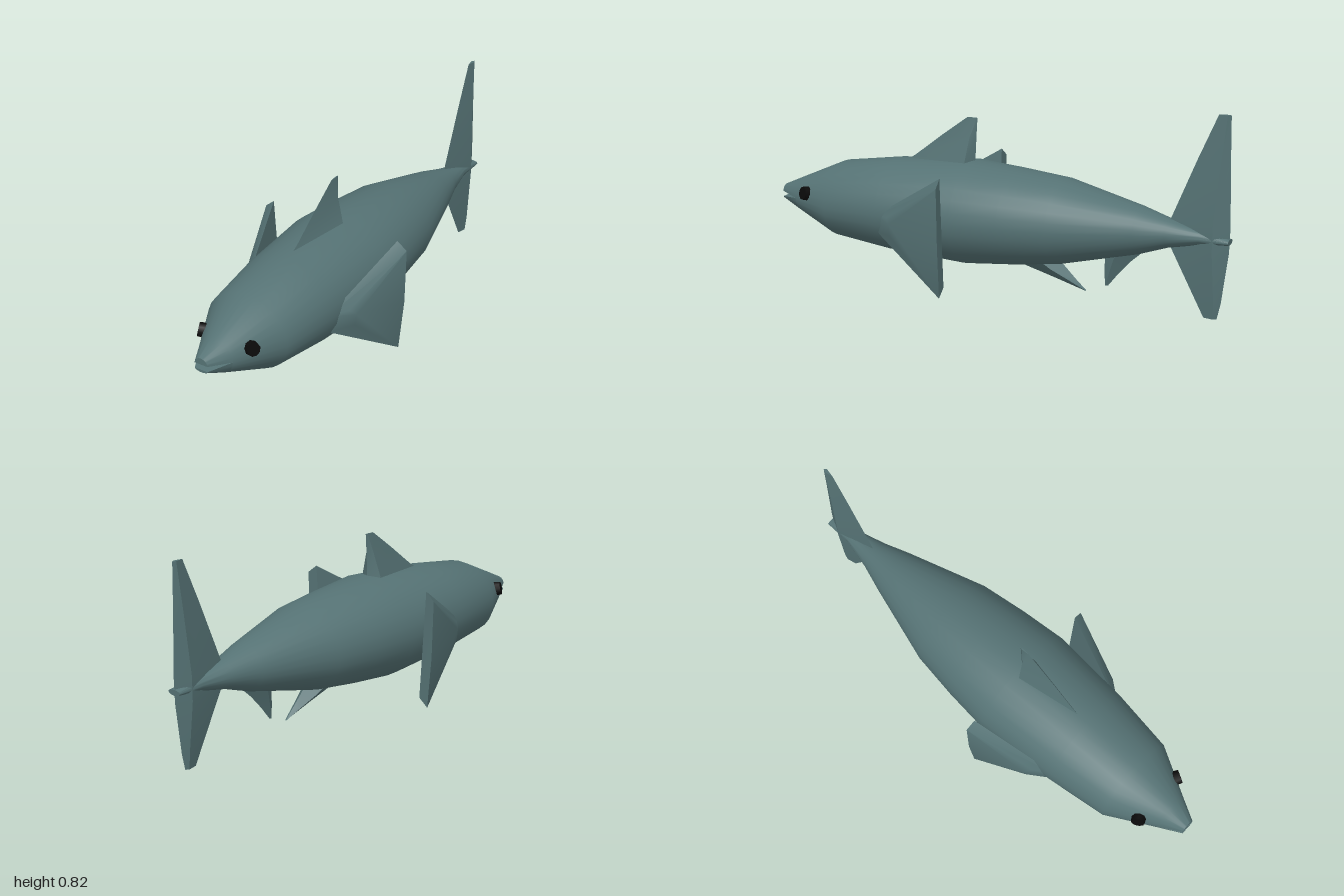
import * as THREE from 'three';
import { toCreasedNormals, mergeVertices } from 'three/addons/utils/BufferGeometryUtils.js';
import { ConvexGeometry } from 'three/addons/geometries/ConvexGeometry.js';

// Skin stretched over closed rings of [x, y, z] points, capped at both ends
function loft(rings, crease) {
  const n = rings[0].length, last = rings.length - 1;
  const pts = rings.flat(), index = [];
  for (let r = 0; r < last; r++) {
    for (let i = 0; i < n; i++) {
      const a = r * n + i, b = r * n + (i + 1) % n;
      index.push(a, b, b + n, a, b + n, a + n);
    }
  }
  for (let i = 1; i < n - 1; i++) {
    index.push(0, i + 1, i, last * n, last * n + i, last * n + i + 1);
  }
  // Turn the faces outward if the rings ran the other way
  let volume = 0;
  const [a, b, c] = [0, 1, 2].map(() => new THREE.Vector3());
  for (let i = 0; i < index.length; i += 3) {
    a.fromArray(pts[index[i]]);
    b.fromArray(pts[index[i + 1]]);
    c.fromArray(pts[index[i + 2]]);
    volume += a.dot(b.cross(c));
  }
  if (volume < 0) index.reverse();
  const geo = new THREE.BufferGeometry();
  geo.setAttribute('position', new THREE.Float32BufferAttribute(pts.flat(), 3));
  geo.setIndex(index);
  return toCreasedNormals(geo, crease);
}

// Body cross-section: upper and lower half-ellipses that meet at the side line
function bodyRing([z, top, mid, bottom, halfWidth]) {
  const ring = [];
  for (let i = 0; i < 28; i++) {
    const t = i / 28 * Math.PI * 2, s = Math.sin(t);
    ring.push([halfWidth * Math.cos(t), mid + s * (s > 0 ? top - mid : mid - bottom), z]);
  }
  return ring;
}

// Fin cross-section: a wedge, thickest near its rear edge
function finRing([y, front, back, half, thickAt = 0.75]) {
  const z = front + (back - front) * thickAt;
  return [[0, y, front], [half, y, z], [0, y, back], [-half, y, z]];
}

export function createModel() {
  const group = new THREE.Group();
  const skin = new THREE.MeshStandardMaterial({ color: 0x557274 });
  skin.name = 'greyTealSkin';
  const black = new THREE.MeshStandardMaterial({ color: 0x0a0a0a });
  black.name = 'eyeBlack';

  const add = (name, geo, material = skin) => {
    const mesh = new THREE.Mesh(geo, material);
    mesh.name = name;
    group.add(mesh);
    return mesh;
  };

  // Body, from the back of the mouth to the tail: z, top, side line, bottom, half width
  add('body', loft([
    [0.91, 0.397, 0.318, 0.25, 0.08],
    [0.71, 0.486, 0.32, 0.167, 0.19],
    [0.45, 0.524, 0.325, 0.135, 0.225],
    [0.10, 0.547, 0.33, 0.115, 0.25],
    [-0.10, 0.53, 0.33, 0.133, 0.232],
    [-0.30, 0.51, 0.33, 0.158, 0.205],
    [-0.63, 0.43, 0.333, 0.235, 0.105],
    [-0.75, 0.393, 0.333, 0.275, 0.065],
    [-0.88, 0.36, 0.33, 0.30, 0.033],
    [-1.0, 0.335, 0.325, 0.312, 0.03],
  ].map(bodyRing), 0.9));

  // Jaws with the open mouth between them
  add('upperJaw', loft([
    [0.91, 0.397, 0.318, 0.318, 0.08],
    [1.0, 0.356, 0.329, 0.329, 0.03],
  ].map(bodyRing), 0.9));
  add('lowerJaw', loft([
    [0.91, 0.318, 0.318, 0.25, 0.08],
    [1.0, 0.306, 0.306, 0.295, 0.03],
  ].map(bodyRing), 0.9));

  // Fins on the centre line: y, front z, back z, half thickness, place of thickest point
  add('dorsalFin', loft([
    [0.49, 0.46, 0.09, 0.065, 0.9],
    [0.545, 0.37, 0.095, 0.048, 0.9],
    [0.645, 0.24, 0.09, 0.019, 0.85],
    [0.725, 0.13, 0.085, 0.003, 0.8],
  ].map(finRing), 0.6));
  add('tailFin', loft([
    [0.003, -0.90, -0.955, 0.009],
    [0.07, -0.865, -0.97, 0.016],
    [0.28, -0.755, -0.997, 0.032],
    [0.38, -0.75, -1.0, 0.032],
    [0.645, -0.86, -0.993, 0.018],
    [0.827, -0.94, -0.99, 0.008],
  ].map(finRing), 0.6));
  add('pelvicFin', loft([
    [0.18, 0.0, -0.27, 0.06],
    [0.135, -0.10, -0.315, 0.045],
    [0.09, -0.26, -0.36, 0.022],
    [0.05, -0.395, -0.402, 0.004],
  ].map(finRing), 0.6));
  add('analFin', loft([
    [0.24, -0.48, -0.64, 0.035, 0.4],
    [0.20, -0.48, -0.595, 0.028, 0.4],
    [0.14, -0.48, -0.54, 0.015, 0.4],
    [0.083, -0.482, -0.495, 0.004, 0.4],
  ].map(finRing), 0.6));

  // Side parts, mirrored left and right
  for (const [side, s] of [['left', 1], ['right', -1]]) {
    // Pectoral fin: a short root that spreads into an upper and a lower tip
    const fin = new ConvexGeometry([
      [0.20, 0.325, 0.45], [0.20, 0.25, 0.45],
      [0.25, 0.33, 0.38], [0.235, 0.245, 0.38],
      [0.272, 0.31, 0.36], [0.265, 0.26, 0.36],
      [0.300, 0.532, 0.112], [0.342, 0.498, 0.108],
      [0.335, 0.26, 0.108],
      [0.270, 0.073, 0.112], [0.312, 0.038, 0.112],
    ].map(([x, y, z]) => new THREE.Vector3(s * x, y, z)));
    fin.deleteAttribute('normal');
    add(side + 'PectoralFin', toCreasedNormals(mergeVertices(fin), 0.6));

    // Flat eye disc set into the cheek
    const eye = add(side + 'Eye', new THREE.CylinderGeometry(0.028, 0.031, 0.03, 9), black);
    eye.position.set(s * 0.118, 0.355, 0.838);
    eye.quaternion.setFromUnitVectors(
      new THREE.Vector3(0, 1, 0),
      new THREE.Vector3(s * 0.84, 0.2, 0.48).normalize());
  }
  return group;
}
